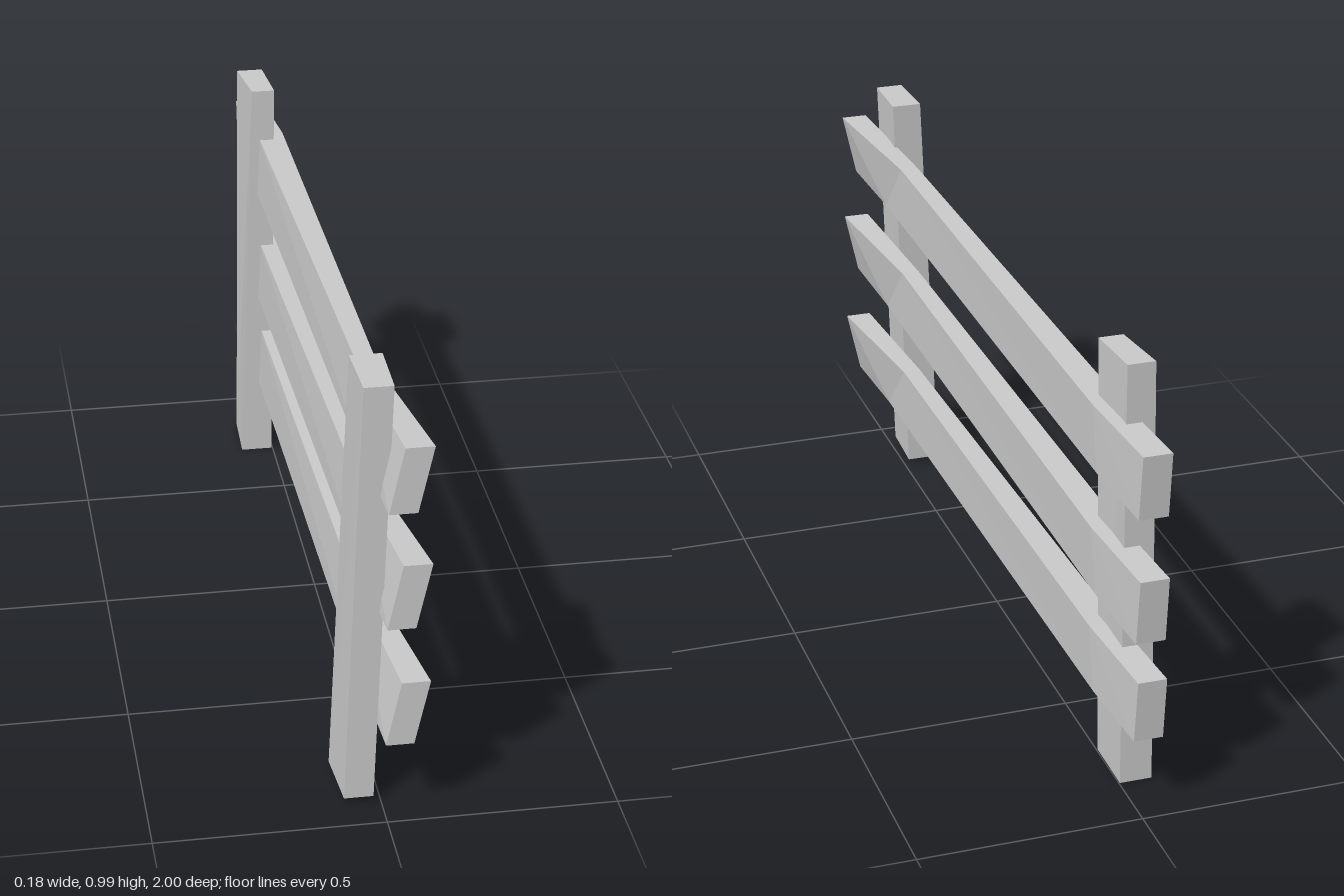
import * as THREE from 'three';

// Skins four-cornered rings, each wound counter-clockwise when seen from the last ring.
function loft(rings, capStart = true) {
  const pos = [];
  const quad = (a, b, c, d) => pos.push(...a, ...b, ...c, ...a, ...c, ...d);
  for (let r = 0; r < rings.length - 1; r++) {
    for (let i = 0; i < 4; i++) {
      const j = (i + 1) % 4;
      quad(rings[r][i], rings[r][j], rings[r + 1][j], rings[r + 1][i]);
    }
  }
  const end = rings[rings.length - 1];
  quad(end[0], end[1], end[2], end[3]);
  if (capStart) quad(rings[0][3], rings[0][2], rings[0][1], rings[0][0]);
  const geometry = new THREE.BufferGeometry();
  geometry.setAttribute('position', new THREE.Float32BufferAttribute(pos, 3));
  geometry.computeVertexNormals();
  return geometry;
}

// Horizontal ring of a post; x bounds are given for its front and back edges.
const postRing = (y, zFront, zBack, [fl, fr], [bl, br]) => [
  [fl, y, zFront], [fr, y, zFront], [br, y, zBack], [bl, y, zBack],
];

// Rail stations from back to front: z of top and bottom, x of the
// inner bottom, outer bottom, outer top and inner top edges.
const STATIONS = [
  { zt: -1.0, zb: -0.99, x: [-0.045, 0.02, 0.017, -0.047] },
  { zt: -0.75, zb: -0.78, x: [-0.035, 0.035, 0.036, -0.027] },
  { zt: 0.63, zb: 0.77, x: [-0.014, 0.042, 0.042, 0.0] },
  { zt: 1.0, zb: 1.0, x: [-0.005, 0.055, 0.088, 0.027] },
];

// Heights of each rail's bottom and top edge at the four stations.
const RAILS = [
  { name: 'lowerRail', bottom: [0.19, 0.196, 0.192, 0.195], top: [0.335, 0.342, 0.338, 0.345] },
  { name: 'middleRail', bottom: [0.423, 0.435, 0.463, 0.476], top: [0.572, 0.58, 0.607, 0.625] },
  { name: 'upperRail', bottom: [0.71, 0.72, 0.737, 0.746], top: [0.857, 0.865, 0.882, 0.895] },
];

export function createModel() {
  const group = new THREE.Group();
  const material = new THREE.MeshStandardMaterial({
    color: 0xcccccc, flatShading: true, side: THREE.DoubleSide,
  });
  const add = (name, geometry) => {
    const mesh = new THREE.Mesh(geometry, material);
    mesh.name = name;
    group.add(mesh);
  };

  // Leaning posts, open underneath
  add('frontPost', loft([
    postRing(0.016, 0.92, 0.775, [-0.08, -0.016], [-0.09, -0.01]),
    postRing(0.995, 0.92, 0.77, [-0.045, 0.018], [-0.05, 0.02]),
  ], false));
  add('backPost', loft([
    postRing(0.002, -0.708, -0.853, [-0.08, -0.003], [-0.075, -0.002]),
    postRing(0.995, -0.708, -0.855, [-0.045, 0.01], [-0.062, 0.0]),
  ], false));

  // Warped planks across the posts
  for (const { name, bottom, top } of RAILS) {
    add(name, loft(STATIONS.map(({ zt, zb, x }, i) => [
      [x[0], bottom[i], zb], [x[1], bottom[i], zb],
      [x[2], top[i], zt], [x[3], top[i], zt],
    ])));
  }
  return group;
}
